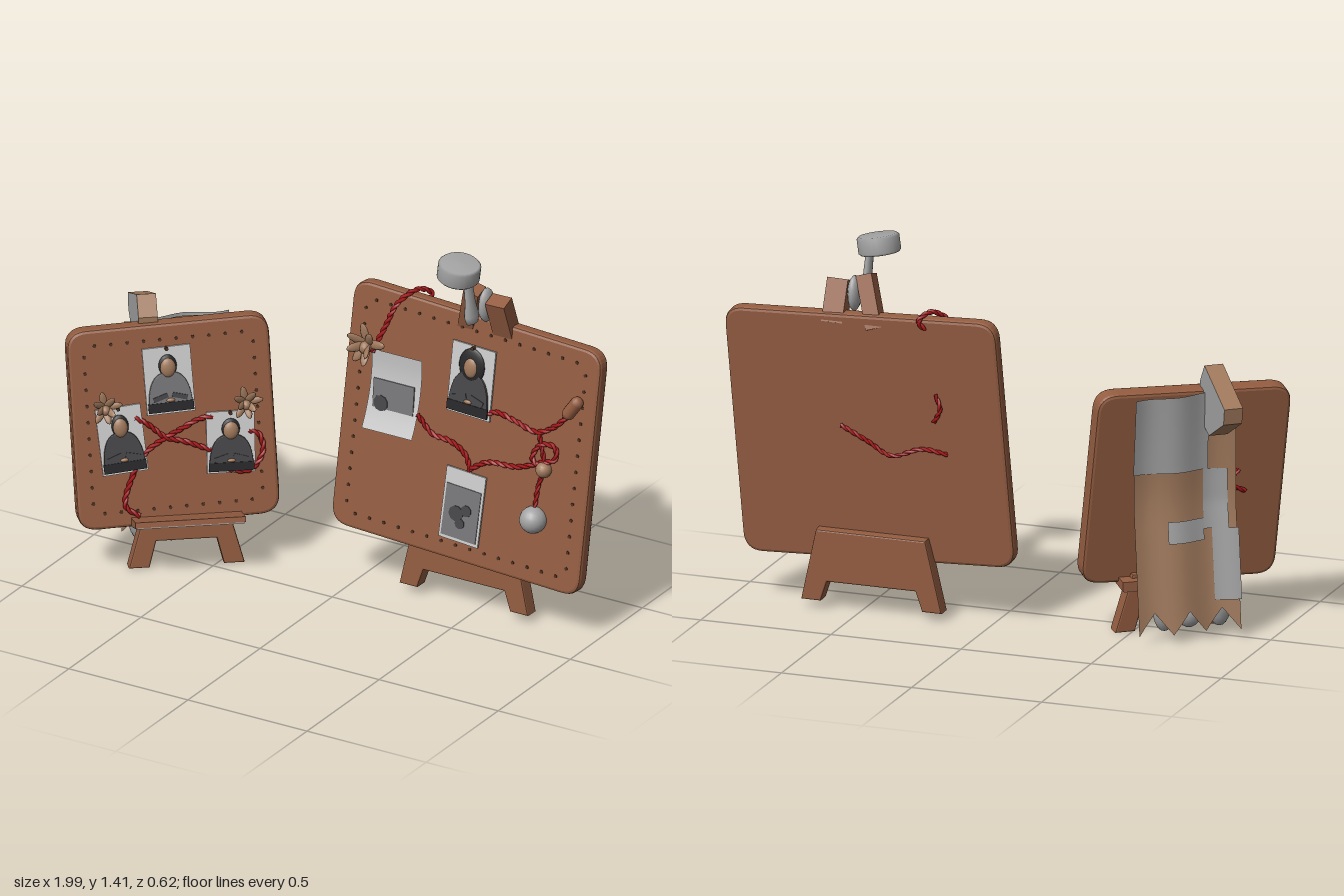
import * as THREE from 'three';

const mat = (name, color, side = THREE.FrontSide) => {
  const m = new THREE.MeshStandardMaterial({ color, side });
  m.name = name;
  return m;
};

export function createModel() {
  const wood = mat('brown wood', 0x945d41);
  const tan = mat('tan', 0xa0795c, THREE.DoubleSide);
  const red = mat('red string', 0xa8181b);
  const metal = mat('grey metal', 0xa3a3a3, THREE.DoubleSide);
  const paper = mat('paper', 0xcdcdcd, THREE.DoubleSide);
  const mid = mat('mid grey', 0x77777a);
  const dark = mat('dark grey', 0x464649);
  const black = mat('near black', 0x272729);
  const hole = mat('dark brown', 0x4b2f20);

  const add = (parent, name, geo, material, pos = [0, 0, 0], rot = [0, 0, 0]) => {
    const m = new THREE.Mesh(geo, material);
    m.name = name;
    m.position.set(...pos);
    m.rotation.set(...rot);
    parent.add(m);
    return m;
  };
  const group = (parent, name, pos = [0, 0, 0], rot = [0, 0, 0]) => {
    const g = new THREE.Group();
    g.name = name;
    g.position.set(...pos);
    g.rotation.set(...rot, 'YXZ');
    parent.add(g);
    return g;
  };
  const polygon = pts => new THREE.Shape(pts.map(p => new THREE.Vector2(...p)));
  const lathe = (pts, n) => new THREE.LatheGeometry(pts.map(p => new THREE.Vector2(...p)), n);
  const extrude = (shape, depth, bevel = 0) => new THREE.ExtrudeGeometry(shape, {
    depth: depth - 2 * bevel, bevelEnabled: bevel > 0, bevelSize: bevel, bevelOffset: -bevel,
    bevelThickness: bevel, bevelSegments: 2, curveSegments: 8,
  }).translate(0, 0, -(depth - 2 * bevel) / 2);

  // Rounded board with rows of pin holes round its border
  function board(parent, w, h, t, roll, spacing) {
    const g = group(parent, 'board', [0, 0, 0], [0, 0, roll]);
    const s = new THREE.Shape(), r = 0.075, x = w / 2, y = h / 2;
    s.moveTo(-x + r, -y);
    s.lineTo(x - r, -y); s.quadraticCurveTo(x, -y, x, -y + r);
    s.lineTo(x, y - r); s.quadraticCurveTo(x, y, x - r, y);
    s.lineTo(-x + r, y); s.quadraticCurveTo(-x, y, -x, y - r);
    s.lineTo(-x, -y + r); s.quadraticCurveTo(-x, -y, -x + r, -y);
    add(g, 'panel', extrude(s, t, 0.012), wood);
    const dot = new THREE.CylinderGeometry(0.0065, 0.0065, 0.004, 8).rotateX(Math.PI / 2);
    const row = (len, place) => {
      const n = Math.round(len / spacing);
      for (let i = 0; i <= n; i++) place(-len / 2 + len * i / n);
    };
    const pin = (px, py) => add(g, 'pinHole', dot, hole, [px, py, t / 2 + 0.001]);
    for (const k of [-1, 1]) {
      row(w - 0.2, a => pin(a, k * (y - 0.06)));
      row(h - 0.2, a => pin(k * (x - 0.06), a));
    }
  }

  // String of two twisted strands
  function rope(parent, pts, r = 0.007) {
    const curve = new THREE.CatmullRomCurve3(pts.map(p => new THREE.Vector3(...p)));
    const n = Math.max(12, Math.ceil(curve.getLength() / 0.009));
    for (const phase of [0, Math.PI]) {
      const strand = curve.getSpacedPoints(n).map((p, i) => {
        const tg = curve.getTangentAt(i / n), a = i * 0.9 + phase;
        const side = new THREE.Vector3(-tg.y, tg.x, 0.001).normalize();
        const up = new THREE.Vector3().crossVectors(tg, side);
        return p.addScaledVector(side, Math.cos(a) * r * 0.6).addScaledVector(up, Math.sin(a) * r * 0.6);
      });
      add(parent, 'string', new THREE.TubeGeometry(new THREE.CatmullRomCurve3(strand), n, r, 5), red);
    }
  }

  // Photograph with a head and shoulders in low relief
  function portrait(parent, pos, roll, w, h, body, longHair) {
    const g = group(parent, 'portraitPhoto', pos, [0, 0, roll]);
    add(g, 'paper', new THREE.BoxGeometry(w, h, 0.008), paper);
    const s = new THREE.Shape();
    s.moveTo(-0.46 * w, -0.45 * h);
    s.lineTo(0.46 * w, -0.45 * h);
    s.quadraticCurveTo(0.46 * w, 0.06 * h, 0.14 * w, 0.12 * h);
    s.lineTo(-0.14 * w, 0.12 * h);
    s.quadraticCurveTo(-0.46 * w, 0.06 * h, -0.46 * w, -0.45 * h);
    add(g, 'shoulders', extrude(s, 0.012, 0.003), body, [0, 0, 0.009]);
    add(g, 'tableEdge', new THREE.BoxGeometry(0.94 * w, 0.14 * h, 0.006), black, [0, -0.39 * h, 0.014]);
    const ball = new THREE.SphereGeometry(1, 14, 10);
    const hair = longHair ? [0.3 * w, 0.25 * h] : [0.19 * w, 0.17 * h];
    add(g, 'hair', ball, black, [0, 0.22 * h, 0.008]).scale.set(...hair, 0.012);
    add(g, 'face', ball, tan, [0, 0.2 * h, 0.013]).scale.set(0.16 * w, 0.145 * h, 0.015);
    for (const k of [-1, 1])
      add(g, 'forearm', new THREE.BoxGeometry(0.32 * w, 0.07 * h, 0.008), dark, [k * 0.2 * w, -0.24 * h, 0.014], [0, 0, -k * 0.3]);
    add(g, 'hands', ball, tan, [0, -0.29 * h, 0.014]).scale.set(0.09 * w, 0.03 * h, 0.008);
    add(g, 'pin', new THREE.CylinderGeometry(0.007, 0.007, 0.02, 8), hole, [0, 0.48 * h, 0.01], [Math.PI / 2, 0, 0]);
  }

  // Dried flower of broad pointed petals
  function flower(parent, pos, size) {
    const g = group(parent, 'driedFlower', pos);
    const petal = new THREE.SphereGeometry(1, 8, 6).scale(0.21 * size, size / 2, 0.09 * size).translate(0, size / 2, 0);
    for (let i = 0; i < 8; i++) {
      const p = group(g, 'petalArm', [0, 0, 0], [0, 0, i * Math.PI / 4 + 0.2]);
      add(p, 'petal', petal, tan, [0, 0, 0], [0.2 + 0.4 * (i % 3), 0, 0]);
    }
    add(g, 'heart', new THREE.SphereGeometry(0.28 * size, 10, 8), tan, [0, -0.1 * size, 0.015]);
  }

  // Splayed two-legged foot
  const trestle = (half, top, base, bar, leg) => polygon([
    [-half, base], [-half + leg, base], [-half + leg + 0.025, bar], [half - leg - 0.025, bar],
    [half - leg, base], [half, base], [half - 0.06, top], [-half + 0.06, top]]);

  const model = new THREE.Group();
  model.name = 'evidenceBoards';

  // ---- Large board ----
  const large = group(model, 'largeBoard', [0.455, 0.668, -0.205], [-0.105, 0, 0]);
  board(large, 1.045, 0.95, 0.055, -0.045, 0.062);
  const F = 0.0275;
  const at = (x, y, z = F + 0.01) => [x - 0.455, y - 0.668, z];
  portrait(large, at(0.47, 0.895, F + 0.01), -0.04, 0.18, 0.27, dark, true);

  // Curled note
  const note = new THREE.PlaneGeometry(0.21, 0.31, 6, 8);
  for (let i = 0, p = note.attributes.position; i < p.count; i++) {
    const v = p.getY(i) / 0.155;
    p.setZ(i, 0.022 * v * v);
    p.setX(i, p.getX(i) + 0.012 * v);
  }
  note.computeVertexNormals();
  add(large, 'note', note, paper, at(0.158, 0.775, F + 0.014));
  add(large, 'noteStain', new THREE.BoxGeometry(0.17, 0.11, 0.008), mid, at(0.155, 0.76, F + 0.016));
  add(large, 'noteMark', new THREE.CylinderGeometry(0.03, 0.03, 0.006, 10), dark, at(0.105, 0.725, F + 0.02), [Math.PI / 2, 0, 0]);

  // Lower photo
  const low = group(large, 'lowerPhoto', at(0.463, 0.41, F + 0.01), [0, 0, -0.07]);
  add(low, 'paper', new THREE.BoxGeometry(0.165, 0.275, 0.008), paper);
  add(low, 'picture', new THREE.BoxGeometry(0.145, 0.2, 0.006), mid, [0, -0.025, 0.004]);
  for (const [x, y, r] of [[-0.02, -0.03, 0.03], [0.02, -0.01, 0.022], [0, -0.065, 0.02]])
    add(low, 'patch', new THREE.CylinderGeometry(r, r, 0.006, 9), dark, [x, y, 0.007], [Math.PI / 2, 0, 0]);

  flower(large, at(0.05, 0.945, F + 0.045), 0.085);

  // Strings across the front, over the top and out at the back
  const B = -F - 0.008;
  rope(large, [at(0.07, 0.92, 0.07), at(0.11, 1.02, 0.06), at(0.16, 1.13, 0.05), at(0.21, 1.175, 0),
    at(0.24, 1.15, B - 0.01), at(0.22, 1.12, B)]);
  rope(large, [at(0.26, 0.72, 0.05), at(0.32, 0.655), at(0.4, 0.645), at(0.46, 0.61), at(0.485, 0.55)]);
  rope(large, [at(0.485, 0.56), at(0.55, 0.6), at(0.68, 0.615), at(0.77, 0.65), at(0.835, 0.68),
    at(0.83, 0.725), at(0.77, 0.72), at(0.74, 0.66), at(0.79, 0.63)]);
  rope(large, [at(0.53, 0.78), at(0.58, 0.8), at(0.66, 0.785), at(0.75, 0.765), at(0.82, 0.8), at(0.88, 0.86)]);
  rope(large, [at(0.76, 0.77), at(0.77, 0.73), at(0.79, 0.64), at(0.77, 0.56), at(0.762, 0.48)], 0.006);
  rope(large, [at(0.56, 0.71, B), at(0.46, 0.66, B), at(0.36, 0.62, B - 0.02), at(0.25, 0.65, B), at(0.15, 0.64, B)], 0.006);
  rope(large, [at(0.19, 0.87, B), at(0.17, 0.82, B - 0.01), at(0.2, 0.76, B)], 0.006);

  // Hanging tag, bead and ball
  add(large, 'tag', new THREE.CapsuleGeometry(0.025, 0.055, 4, 10), wood, at(0.9, 0.895, F + 0.02), [0, 0, -0.6]);
  add(large, 'bead', new THREE.SphereGeometry(0.03, 14, 10), tan, at(0.79, 0.63, F + 0.012));
  add(large, 'ball', new THREE.SphereGeometry(0.05, 20, 14), metal, at(0.76, 0.432, F + 0.015));

  add(model, 'largeTrestle', extrude(trestle(0.27, 0.3, 0.03, 0.105, 0.075), 0.06, 0.006), wood, [0.45, 0, -0.195], [-0.03, 0, 0]);

  // Wooden clip holding a small lamp
  add(model, 'clipPost', new THREE.BoxGeometry(0.06, 0.2, 0.06), wood, [0.45, 1.175, -0.225], [0.3, 0, -0.3]);
  add(model, 'clipPost', new THREE.BoxGeometry(0.08, 0.16, 0.06), wood, [0.58, 1.165, -0.225], [0.35, 0, 0.02]);
  add(model, 'clipJaw', new THREE.SphereGeometry(0.06, 12, 10), metal, [0.515, 1.2, -0.22]).scale.set(0.4, 1.1, 0.7);
  const arm = lathe([[0, 0], [0.03, 0.012], [0.037, 0.04], [0.026, 0.09], [0.022, 0.19]], 14);
  add(model, 'lampArm', arm, metal, [0.505, 1.15, -0.14], [0.05, 0, 0.08]).scale.x = 0.6;
  const lamp = lathe([[0, -0.034], [0.07, -0.034], [0.078, -0.026], [0.078, 0.026], [0.07, 0.034], [0, 0.037]], 24);
  add(model, 'lampHead', lamp, metal, [0.46, 1.362, -0.12], [0.08, 0, -0.17]);

  // ---- Small board, turned aside ----
  const easel = group(model, 'smallEasel', [-0.657, 0, 0.025], [0, 0.68, 0]);
  const small = group(easel, 'smallBoard', [0, 0.55, 0], [-0.16, 0, 0]);
  board(small, 0.735, 0.75, 0.07, 0.04, 0.06);
  const S = 0.044;
  portrait(small, [-0.015, 0.165, S], 0.06, 0.175, 0.25, mid, false);
  portrait(small, [-0.19, -0.05, S], 0.1, 0.165, 0.25, dark, false);
  portrait(small, [0.205, -0.08, S], 0.0, 0.175, 0.23, dark, false);
  flower(small, [-0.25, 0.08, S + 0.02], 0.065);
  flower(small, [0.26, 0.07, S + 0.02], 0.065);
  rope(small, [[-0.14, 0.03, S], [-0.09, 0, S], [-0.03, -0.05, S], [0.04, -0.07, S], [0.14, -0.11, S]]);
  rope(small, [[-0.03, -0.05, S], [0.03, -0.02, S], [0.09, 0.01, S], [0.14, 0.02, S]]);
  rope(small, [[-0.03, -0.05, S], [-0.1, -0.1, S], [-0.15, -0.18, S], [-0.18, -0.3, S], [-0.13, -0.34, S]]);
  rope(small, [[0.18, -0.18, S], [0.27, -0.19, S], [0.32, -0.13, S], [0.31, -0.06, S], [0.27, -0.04, S]]);
  rope(small, [[-0.19, 0.05, -0.043], [-0.16, 0, -0.05], [-0.22, -0.04, -0.043]], 0.006);

  // Curved ledge under the front edge, grey beneath
  const ledge = polygon([[-0.03, 0.2], [0.1, 0.215], [0.2, 0.245], [0.205, 0.225], [0.1, 0.182], [-0.03, 0.165]]);
  add(easel, 'ledge', extrude(ledge, 0.4), wood, [0.04, 0, 0], [0, -Math.PI / 2, 0]);
  add(easel, 'ledgeUnderside', new THREE.BoxGeometry(0.39, 0.004, 0.125), metal, [0.04, 0.172, 0.035], [-0.13, 0, 0]);
  add(easel, 'ledgeUnderside', new THREE.BoxGeometry(0.39, 0.004, 0.11), metal, [0.04, 0.2015, 0.153], [-0.39, 0, 0]);
  add(easel, 'smallTrestle', extrude(trestle(0.21, 0.22, 0.0, 0.1, 0.075), 0.06, 0.006), wood, [0.044, 0, 0.045], [-0.08, 0, 0]);

  // Triangular bracket behind the top, grey sides and tan edges
  const bracket = polygon([[0.05, 0.94], [0.1, 1.01], [0.33, 0.91], [0.32, 0.85], [0.15, 0.76], [0.05, 0.8]]);
  add(easel, 'backBracket', extrude(bracket, 0.07), [metal, tan], [-0.08, 0, 0], [0, Math.PI / 2, 0]);

  // Draped sheet on the back with a ragged hem
  function drape(name, material, x0, x1, y0, y1, ragged) {
    const geo = new THREE.PlaneGeometry(1, 1, 12, 12), p = geo.attributes.position;
    for (let i = 0; i < p.count; i++) {
      const a = p.getX(i) + 0.5, b = p.getY(i) + 0.5, x = x0 + (x1 - x0) * a;
      const hem = ragged ? 0.08 * (1 - b) * (1 - Math.abs(((a * 3) % 1) - 0.5) * 2) : 0;
      const y = y0 + (y1 - y0) * b + hem;
      const z = -0.1 - 0.07 * Math.max(0, (0.5 - y) / 0.5) - 0.3 * Math.max(0, y - 0.6) * (x + 0.16)
        - 0.012 * Math.sin(x * 26);
      p.setXYZ(i, x, y, z - (ragged ? 0 : 0.006));
    }
    geo.computeVertexNormals();
    add(easel, name, geo, material);
  }
  drape('backSheet', tan, -0.16, 0.22, 0.03, 0.9, true);
  drape('greyPanel', metal, -0.06, 0.225, 0.62, 0.91, false);
  drape('greyPatch', metal, -0.13, -0.04, 0.4, 0.62, false);
  drape('greyPatch', metal, -0.04, 0.1, 0.36, 0.44, false);
  drape('greyPatch', metal, -0.165, -0.07, 0.14, 0.4, false);
  for (const [x, z, h] of [[-0.1, -0.105, 0.09], [0.11, -0.11, 0.09], [0.01, -0.09, 0.05]])
    add(easel, 'greyFoot', new THREE.SphereGeometry(1, 14, 10), metal, [x, 0.03 + h, z]).scale.set(0.045, h, 0.035);

  return model;
}
